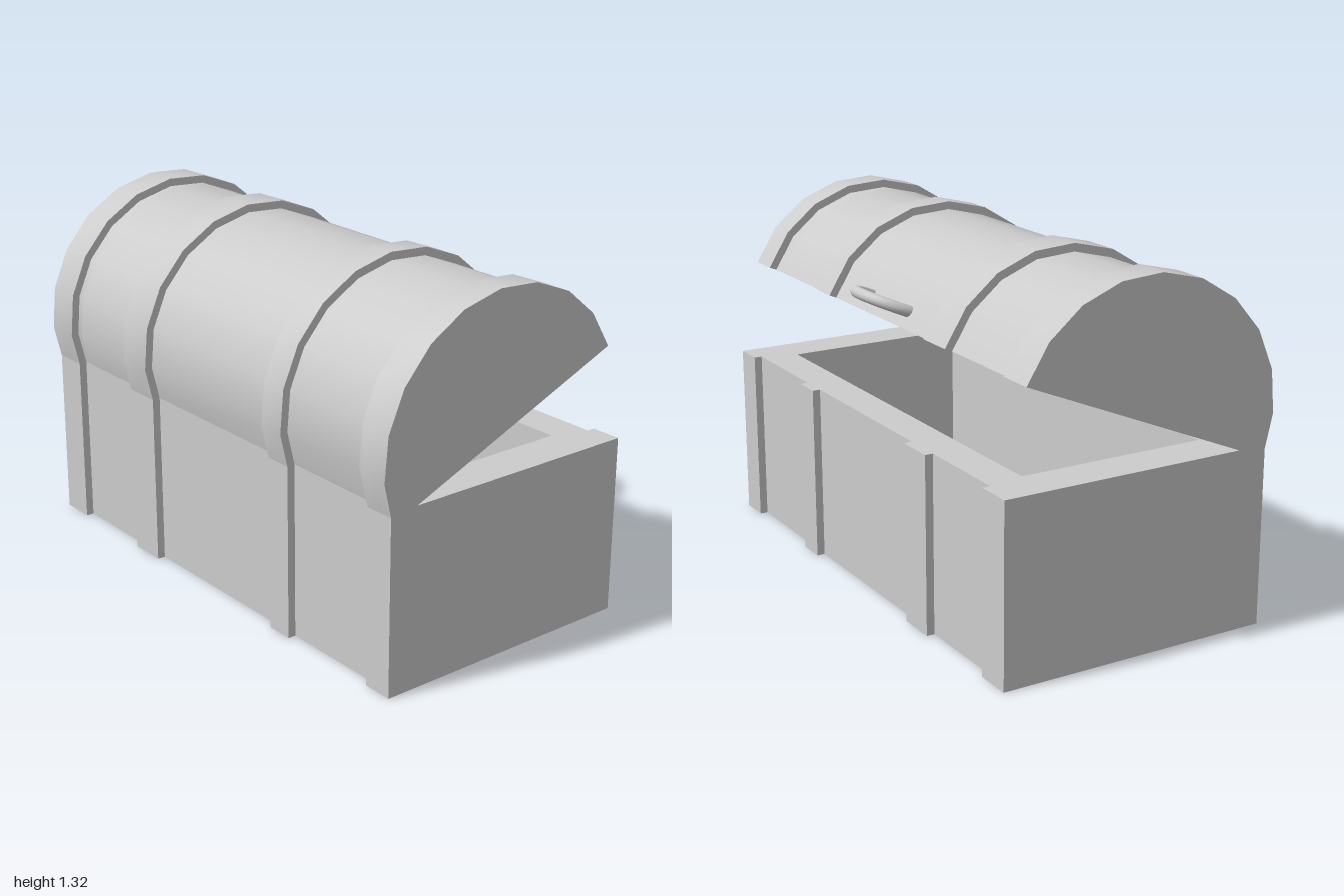
import * as THREE from 'three';
import { toCreasedNormals } from 'three/addons/utils/BufferGeometryUtils.js';

const material = new THREE.MeshStandardMaterial({ color: 0xcccccc });

// [from x, to x] of each strap
const STRAPS = [[-1, -0.865], [-0.495, -0.35], [0.36, 0.465], [0.885, 1]];
const BASE_H = 0.66, CAVITY_X = 0.84, FLOOR = 0.12;
const BACK = 0.475, FRONT = -0.505, STRAP = 0.03; // base body in z
const SEGMENTS = 10;

function add(group, name, geometry) {
  const mesh = new THREE.Mesh(geometry, material);
  mesh.name = name;
  group.add(mesh);
  return mesh;
}

function box(group, name, x0, x1, y0, y1, z0, z1) {
  const mesh = add(group, name, new THREE.BoxGeometry(x1 - x0, y1 - y0, z1 - z0));
  mesh.position.set((x0 + x1) / 2, (y0 + y1) / 2, (z0 + z1) / 2);
}

// points of a half ellipse, from +z over the top to -z
function halfEllipse(rz, ry) {
  return Array.from({ length: SEGMENTS + 1 }, (_, i) => {
    const a = (i / SEGMENTS) * Math.PI;
    return new THREE.Vector2(Math.cos(a) * rz, Math.sin(a) * ry);
  });
}

// half-round section (hollow when an inner ellipse is given) drawn out along x
function arch(x0, x1, outer, inner) {
  const points = halfEllipse(...outer);
  if (inner) points.push(...halfEllipse(...inner).reverse());
  const geometry = new THREE.ExtrudeGeometry(new THREE.Shape(points), { depth: x1 - x0, bevelEnabled: false });
  geometry.rotateY(-Math.PI / 2).translate(x1, 0, 0);
  return toCreasedNormals(geometry, 0.5);
}

function createBase() {
  const base = new THREE.Group();
  base.name = 'base';
  // walls around the open cavity
  const rect = (x, z0, z1) => [[-x, z0], [x, z0], [x, z1], [-x, z1]].map(([a, b]) => new THREE.Vector2(a, b));
  const plan = new THREE.Shape(rect(1, -BACK, -FRONT));
  plan.holes.push(new THREE.Path(rect(CAVITY_X, -0.345, 0.37).reverse()));
  const walls = new THREE.ExtrudeGeometry(plan, { depth: BASE_H, bevelEnabled: false });
  add(base, 'baseWalls', walls.rotateX(-Math.PI / 2));
  box(base, 'baseFloor', -CAVITY_X, CAVITY_X, 0, FLOOR, -0.37, 0.345);
  // upright straps on both long sides
  for (const [x0, x1] of STRAPS) {
    box(base, 'baseStrapBack', x0, x1, 0, BASE_H, BACK, BACK + STRAP);
    box(base, 'baseStrapFront', x0, x1, 0, BASE_H, FRONT - STRAP, FRONT);
  }
  return base;
}

function createLid() {
  const lid = new THREE.Group();
  lid.name = 'lid';
  const body = [0.487, 0.47], strap = [0.517, 0.5], cavity = [0.37, 0.35];
  // hollow barrel top closed by solid ends
  add(lid, 'lidShell', arch(-CAVITY_X, CAVITY_X, body, cavity));
  add(lid, 'lidEndRight', arch(-1, -CAVITY_X, body));
  add(lid, 'lidEndLeft', arch(CAVITY_X, 1, body));
  for (const [x0, x1] of STRAPS) add(lid, 'lidStrap', arch(x0, x1, strap, body));
  // lifting handle
  const handle = add(lid, 'handle', new THREE.TorusGeometry(0.14, 0.021, 12, 24, Math.PI));
  handle.rotation.x = -Math.PI / 2;
  handle.position.set(0, 0.062, -0.46);
  // swung open about the hinge side
  lid.rotation.x = THREE.MathUtils.degToRad(22.7);
  lid.position.set(0, 0.8165, 0.021);
  return lid;
}

export function createModel() {
  const chest = new THREE.Group();
  chest.name = 'chest';
  chest.add(createBase(), createLid());
  return chest;
}
